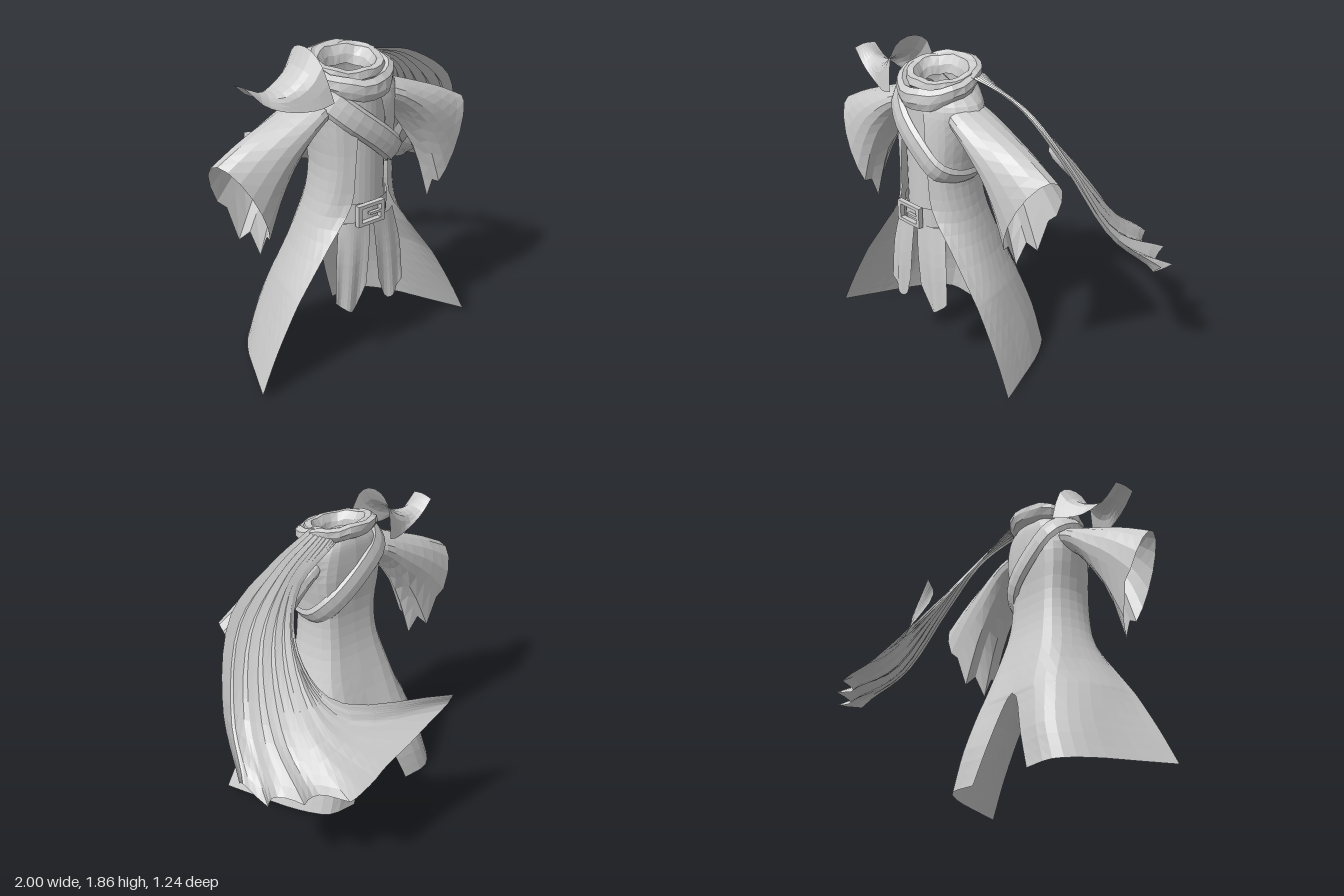
import * as THREE from 'three';

const CX = -0.155; // centre line of the garment
const CZ = 0.385;
const mat = new THREE.MeshStandardMaterial({ color: 0xcccccc, flatShading: true, side: THREE.DoubleSide });
const V = ([x, y, z]) => new THREE.Vector3(x, y, z);
const spline = (pts, n) => new THREE.CatmullRomCurve3(pts).getPoints(n);

function mesh(name, geometry) {
  const m = new THREE.Mesh(geometry, mat);
  m.name = name;
  return m;
}

// Cloth sheet through a grid of control points; tweak(p, u, v) may shift each vertex
function patch(name, grid, nu, nv, tweak = () => {}) {
  const rows = grid.map(r => spline(r.map(q => (q.isVector3 ? q : V(q))), nu));
  const pos = [], index = [];
  for (let i = 0; i <= nu; i++) {
    spline(rows.map(r => r[i]), nv).forEach((p, j) => {
      tweak(p, i / nu, j / nv);
      pos.push(p.x, p.y, p.z);
      if (i < nu && j < nv) {
        const a = i * (nv + 1) + j, b = a + nv + 1;
        index.push(a, b, a + 1, b, b + 1, a + 1);
      }
    });
  }
  const g = new THREE.BufferGeometry();
  g.setAttribute('position', new THREE.Float32BufferAttribute(pos, 3));
  g.setIndex(index);
  g.computeVertexNormals();
  return mesh(name, g);
}

// Coat half: height, then x,z of front edge, front side, side, back corner, back seam
function coatHalf() {
  const rows = [
    [1.72, .06, .50, .11, .46, .15, .37, .10, .25, 0, .22],
    [1.66, .065, .53, .16, .50, .23, .37, .15, .23, 0, .205],
    [1.59, .07, .56, .19, .525, .30, .37, .18, .225, 0, .20],
    [1.45, .09, .58, .20, .53, .265, .38, .20, .23, 0, .20],
    [1.20, .11, .585, .19, .53, .225, .39, .17, .24, 0, .22],
    [1.00, .13, .58, .22, .51, .245, .38, .18, .22, 0, .20],
    [0.80, .27, .575, .31, .45, .30, .33, .22, .17, 0, .145],
    [0.53, .47, .575, .45, .40, .38, .21, .26, .07, 0, .065],
    [0.50, .49, .575, .46, .39, .39, .20, .27, .06, .035, .06],
    [0.25, .63, .58, .55, .36, .46, .13, .33, -.01, .13, .0],
    [0.02, .74, .59, .65, .38, .53, .12, .40, -.03, .215, -.04],
  ];
  const grid = rows.map(([y, ...q]) => [0, 2, 4, 6, 8].map(k => [q[k], y, q[k + 1]]));
  return patch('coat', grid, 12, 30, (p, u, v) => {
    p.x = Math.max(p.x, 0);
    if (v > 0.8) p.y += (0.02 - 0.03 * u) * (v - 0.8) / 0.2; // hem lower at the back
  });
}

// Wide sleeve: each ring has top x,y, bottom x,y, half depth
function sleeve() {
  const rings = [
    [.12, 1.66, .16, 1.46, .10], [.26, 1.605, .245, 1.445, .14], [.44, 1.535, .36, 1.32, .15],
    [.66, 1.445, .495, 1.09, .145], [.84, 1.35, .595, .82, .135],
  ];
  const grid = rings.map(([tx, ty, bx, by, w]) => {
    const ring = [];
    for (let k = 0; k <= 16; k++) {
      const a = k / 16 * Math.PI * 2, s = (1 + Math.cos(a)) / 2;
      ring.push([bx + (tx - bx) * s, by + (ty - by) * s, CZ + w * Math.sin(a)]);
    }
    return ring;
  });
  return patch('sleeve', grid, 16, 10, (p, u, v) => {
    // Cuff cut back at the front, with two torn points below
    const a = u * Math.PI * 2, end = Math.max(0, v - 0.6) / 0.4;
    p.x -= 0.05 * end * Math.sin(a);
    if (u > 0.43 && u < 0.7) p.y -= 0.055 * end * Math.cos(a * 8);
  });
}

// Hanging front panel with pleats
function tabard() {
  const grid = [
    [[.01, .89, .59], [.08, .89, .585], [.14, .89, .57], [.19, .89, .54]],
    [[.025, .7, .60], [.10, .65, .60], [.17, .65, .59], [.225, .68, .565]],
    [[.045, .5, .60], [.125, .345, .60], [.19, .38, .595], [.24, .43, .575]],
  ];
  return patch('frontPanel', grid, 12, 6, (p, u, v) => {
    p.z += 0.009 * v * Math.cos(u * Math.PI * 4);
  });
}

// Roll of cloth round the neck: profile, tilt, front dip, depth ratio, z, crumple phase
function cowlRoll(name, pts, tilt, dip, depth, zc, phase) {
  const g = new THREE.LatheGeometry(pts.map(q => new THREE.Vector2(...q)), 22);
  const p = g.attributes.position;
  for (let i = 0; i < p.count; i++) {
    const x = p.getX(i), y = p.getY(i), z = p.getZ(i), a = Math.atan2(x, z);
    const k = 1 + 0.025 * Math.sin(a * 5 + phase + y * 30);
    const drop = dip * Math.max(0, Math.cos(a)) * Math.max(0, 1.76 - y) / 0.1;
    p.setXYZ(i, x * k, y - z * tilt - drop + 0.005 * Math.sin(a * 7 + phase), z * k * depth);
  }
  g.computeVertexNormals();
  const m = mesh(name, g);
  m.position.set(CX, 0, zc);
  return m;
}

// Sash looped from the right shoulder round the left ribs
function sash() {
  const path = [[-.41, 1.66, .36], [-.38, 1.6, .5], [-.28, 1.5, .58], [-.1, 1.35, .605], [.02, 1.24, .575],
    [.075, 1.19, .46], [.075, 1.20, .31], [0, 1.3, .215], [-.17, 1.45, .185], [-.35, 1.6, .22]].map(V);
  const curve = new THREE.CatmullRomCurve3(path, true);
  const c = new THREE.Vector3(CX, 1.41, CZ);
  const grid = [];
  for (let i = 0; i <= 32; i++) {
    const p = curve.getPoint(i / 32), n = p.clone().sub(c).normalize();
    const side = curve.getTangent(i / 32).cross(n).normalize();
    grid.push([[-.075, -.02], [-.055, .006], [0, .014], [.055, .006], [.075, -.02]].map(([s, h]) =>
      p.clone().addScaledVector(side, s).addScaledVector(n, h)));
  }
  return patch('sash', grid, 4, 32);
}

// Upswept pad, front edge to back edge in each row, outer tip to neck
function shoulderPad() {
  const grid = [
    [[-.82, 1.72, .44], [-.82, 1.73, .37], [-.82, 1.72, .29]],
    [[-.73, 1.63, .45], [-.70, 1.675, .37], [-.73, 1.64, .28]],
    [[-.59, 1.575, .48], [-.61, 1.66, .44], [-.61, 1.67, .30], [-.58, 1.59, .25]],
    [[-.46, 1.575, .53], [-.49, 1.72, .48], [-.50, 1.75, .38], [-.49, 1.73, .26], [-.46, 1.60, .20]],
    [[-.38, 1.60, .55], [-.42, 1.79, .50], [-.43, 1.855, .42], [-.43, 1.86, .31], [-.42, 1.81, .23],
      [-.40, 1.62, .18]],
  ];
  return patch('shoulderPad', grid, 10, 10);
}

// Windblown cape: lengthwise lines from the outer edge to the trailing tail
function cape() {
  const lines = [
    [[.03, 1.76, .36], [.35, 1.66, .30], [.66, 1.44, .28], [.87, 1.01, .10], [.99, .73, -.2]],
    [[.03, 1.755, .32], [.35, 1.63, .25], [.62, 1.37, .20], [.82, .91, -.01], [.94, .66, -.38]],
    [[.02, 1.75, .28], [.35, 1.59, .20], [.57, 1.32, .11], [.71, .88, -.13], [.78, .66, -.5]],
    [[.02, 1.74, .25], [.34, 1.56, .17], [.52, 1.27, .03], [.60, .87, -.27], [.56, .64, -.61]],
    [[.01, 1.73, .22], [.32, 1.54, .15], [.47, 1.26, -.03], [.47, .92, -.31], [.25, .72, -.57]],
    [[.01, 1.72, .2], [.31, 1.53, .15], [.46, 1.25, -.03], [.37, .95, -.31], [-.2, .93, -.56]],
    [[0, 1.71, .19], [.30, 1.53, .15], [.45, 1.27, -.04], [.38, 1.04, -.26], [-.2, 1.01, -.6]],
  ];
  const grid = lines[0].map((_, i) => lines.map(l => l[i]));
  const ridge = V([.5, .75, .2]), notch = V([-.02, .0, .1]);
  return patch('cape', grid, 36, 18, (p, u, v) => {
    const amp = (0.006 + 0.011 * Math.sin(v * Math.PI)) * (1 - 0.7 * u);
    p.addScaledVector(ridge, amp * Math.cos(u * Math.PI * 18));
    // Ragged points along the trailing hem
    if (u < 0.5) p.addScaledVector(notch, v ** 8 * Math.abs(Math.sin(u * Math.PI * 6)));
  });
}

// Band across the front of the body
function arcBand(name, rx, rz, y0, y1) {
  const g = new THREE.CylinderGeometry(1, 1, y1 - y0, 14, 2, true, -1.2, 2.4);
  g.scale(rx, 1, rz).translate(CX, (y0 + y1) / 2, CZ);
  return mesh(name, g);
}

function buckle() {
  const rect = (P, w, h) => new P([[-w, -h], [w, -h], [w, h], [-w, h]].map(q => new THREE.Vector2(...q)));
  const s = rect(THREE.Shape, .09, .062);
  s.holes.push(rect(THREE.Path, .066, .042));
  const frame = mesh('buckleFrame', new THREE.ExtrudeGeometry(s, { depth: .03, bevelEnabled: false }));
  const prong = mesh('buckleProng', new THREE.BoxGeometry(.09, .014, .02));
  prong.position.set(.035, 0, .02);
  const g = new THREE.Group();
  g.name = 'buckle';
  g.add(frame, prong);
  g.position.set(-.18, .937, .593);
  return g;
}

export function createModel() {
  const model = new THREE.Group();
  model.name = 'robe';

  // Mirrored halves
  for (const side of [1, -1]) {
    const half = new THREE.Group();
    half.name = side > 0 ? 'leftHalf' : 'rightHalf';
    half.add(coatHalf(), sleeve(), tabard());
    half.scale.x = side;
    half.position.x = CX;
    model.add(half);
  }

  // Vest and belt in the coat opening
  model.add(arcBand('vest', .2, .188, .86, 1.64), arcBand('belt', .215, .208, .88, .995), buckle());

  model.add(
    cowlRoll('cowlOuterRoll', [[.15, 1.68], [.18, 1.735], [.21, 1.75], [.24, 1.735], [.243, 1.70],
      [.225, 1.665], [.18, 1.65], [.15, 1.68]], 0.22, 0.04, 0.95, CZ, 0),
    cowlRoll('cowlInnerRoll', [[.125, 1.66], [.135, 1.71], [.165, 1.755], [.205, 1.755], [.215, 1.72],
      [.17, 1.68], [.125, 1.66]], 0.15, 0.01, 0.85, 0.365, 2),
    sash(), shoulderPad(), cape(),
  );
  return model;
}
